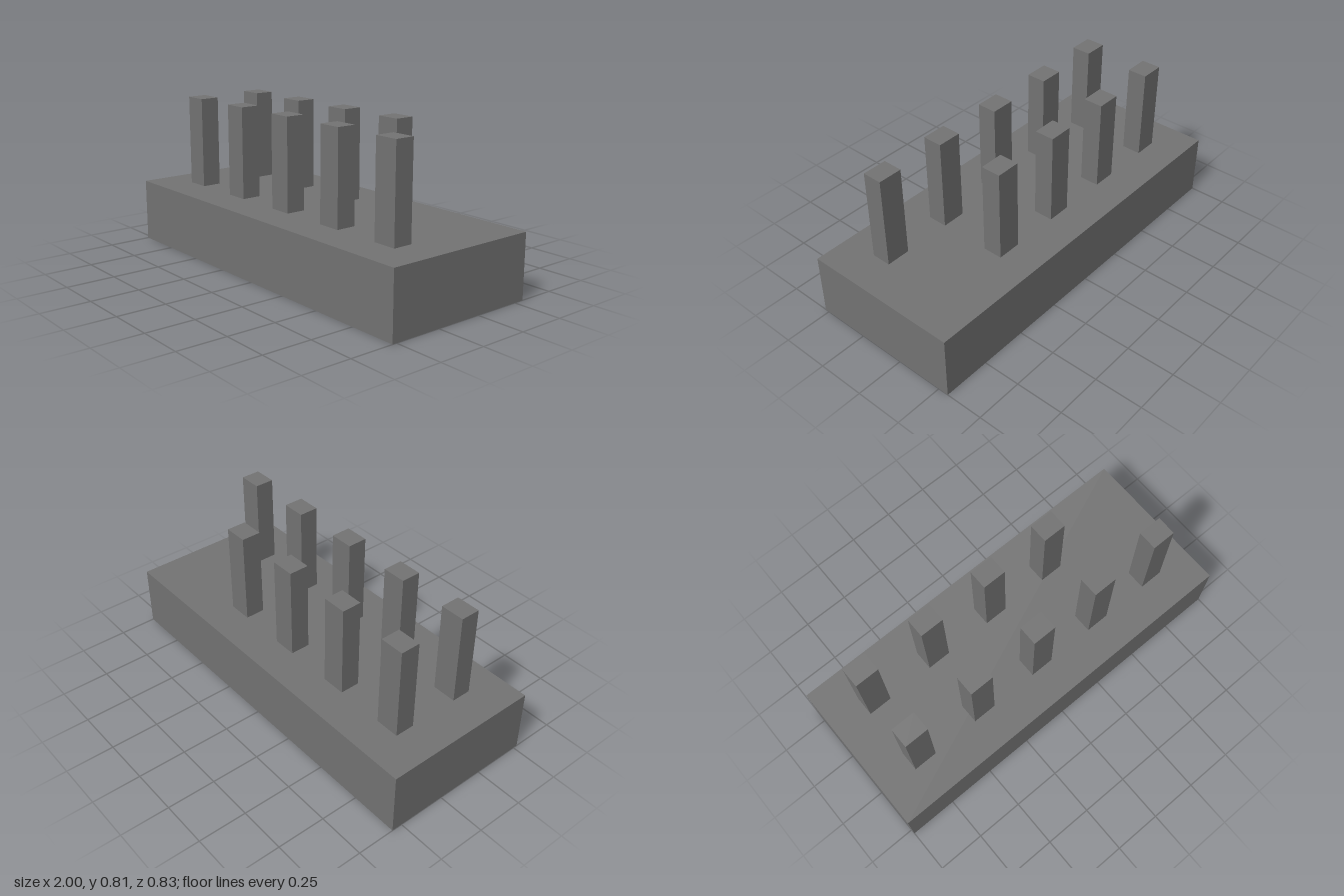
import * as THREE from 'three';

export function createModel() {
  const group = new THREE.Group();
  const dark = new THREE.MeshStandardMaterial({ color: 0x737373 });

  const addBox = (name, w, h, d, x, bottom, z) => {
    const mesh = new THREE.Mesh(new THREE.BoxGeometry(w, h, d), dark);
    mesh.name = name;
    mesh.position.set(x, bottom + h / 2, z);
    group.add(mesh);
  };

  // Solid slab, set back from the origin
  const slabTop = 0.33;
  addBox('base', 2, slabTop, 0.828, 0, 0, -0.141);

  // Two rows of square posts: five in front, four behind (right rear corner left empty)
  const spacing = 0.374;
  const rows = [
    { name: 'frontPost', z: 0.04, count: 5 },
    { name: 'backPost', z: -0.323, count: 4 },
  ];
  for (const { name, z, count } of rows) {
    for (let i = 0; i < count; i++) {
      addBox(`${name}${i + 1}`, 0.125, 0.477, 0.102, (i - 2) * spacing, slabTop, z);
    }
  }

  return group;
}
